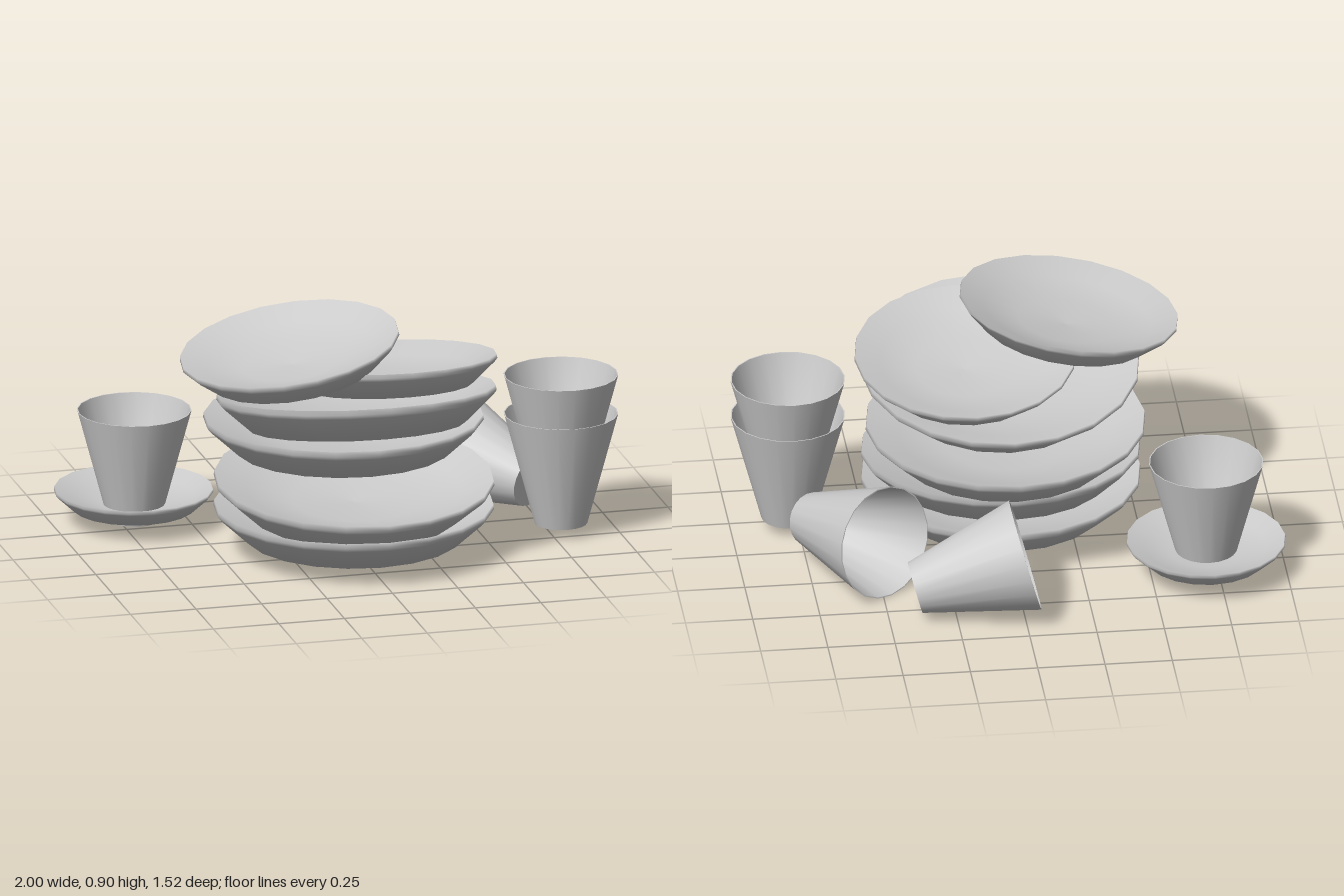
import * as THREE from 'three';

const SIDES = 20;
const material = new THREE.MeshStandardMaterial({ color: 0xcccccc, side: THREE.DoubleSide });
const lathe = (points) =>
  new THREE.LatheGeometry(points.map(([r, y]) => new THREE.Vector2(r, y)), SIDES);

// Dish profile with a small rounded lip, rim plane at y = 0
const dishGeometry = lathe([
  [0, -0.132], [0.4, -0.132], [0.505, -0.035], [0.519, -0.018], [0.516, 0],
  [0.4, -0.055], [0.23, -0.092], [0, -0.105],
]);

// Tapered cup profile, base at y = 0; doubled points keep the base and lip sharp
const cupGeometry = lathe([
  [0, 0], [0.098, 0], [0.098, 0], [0.212, 0.424], [0.212, 0.424], [0.208, 0.424],
  [0.208, 0.424], [0.11, 0.062], [0.06, 0.057], [0, 0.056],
]);

export function createModel() {
  const model = new THREE.Group();
  const deg = THREE.MathUtils.degToRad;

  // Dish placed by its rim centre; tilts in degrees
  function addDish(name, [x, y, z], scale = 1, tiltX = 0, tiltZ = 0) {
    const dish = new THREE.Mesh(dishGeometry, material);
    dish.name = name;
    dish.position.set(x, y, z);
    dish.rotation.set(deg(tiltX), 0, deg(tiltZ));
    dish.scale.setScalar(scale);
    model.add(dish);
  }

  // Cup placed by its base centre, opening along the given direction
  function addCup(name, [x, y, z], direction = [0, 1, 0]) {
    const cup = new THREE.Mesh(cupGeometry, material);
    cup.name = name;
    cup.position.set(x, y, z);
    cup.quaternion.setFromUnitVectors(
      new THREE.Vector3(0, 1, 0), new THREE.Vector3(...direction).normalize());
    model.add(cup);
  }

  // Leaning pile of four large plates and two small ones
  addDish('largePlate1', [-0.004, 0.19, 0.207]);
  addDish('largePlate2', [-0.004, 0.295, 0.212], 1, 4.4);
  addDish('largePlate3', [-0.004, 0.487, 0.058], 1, -1.4);
  addDish('largePlate4', [-0.004, 0.635, 0.243], 1, -9.5);
  addDish('smallPlate1', [0.135, 0.722, 0.153], 0.79, -8.8);
  addDish('smallPlate2', [-0.265, 0.84, 0.26], 0.79, 2.4, 9.2);

  // Cup on its saucer
  addDish('saucer', [-0.705, 0.14, -0.32], 0.568);
  addCup('saucerCup', [-0.708, 0.025, -0.3]);

  // Two nested cups
  addCup('lowerStackedCup', [0.787, 0.046, 0.205]);
  addCup('upperStackedCup', [0.787, 0.196, 0.205]);

  // Two cups lying on their sides
  addCup('fallenCupBack', [0.402, 0.123, -0.547], [-0.405, 0.11, 0]);
  addCup('fallenCupSide', [0.73, 0.145, -0.005], [-0.24, 0.068, -0.348]);

  return model;
}
